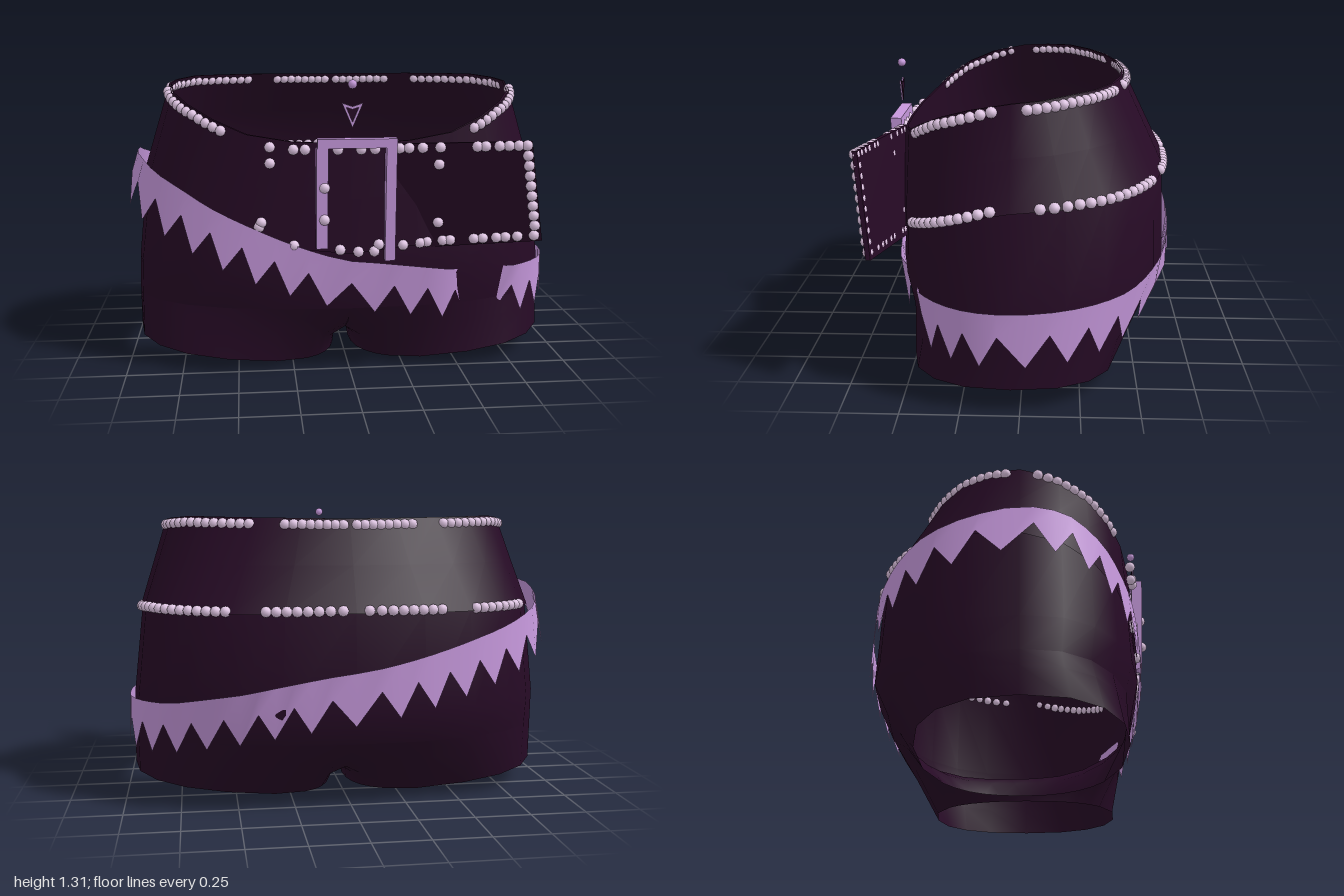
import * as THREE from 'three';
import { mergeGeometries } from 'three/addons/utils/BufferGeometryUtils.js';

const RAD = Math.PI / 180;
const mat = (name, color, side = THREE.FrontSide) => {
  const m = new THREE.MeshStandardMaterial({ color, side });
  m.name = name;
  return m;
};
const lerp = THREE.MathUtils.lerp;

// Piecewise-linear lookup of [angle, value] pairs
function lookup(table, d) {
  for (let i = 1; i < table.length; i++) {
    const [a, va] = table[i - 1], [b, vb] = table[i];
    if (d <= b) return lerp(va, vb, (d - a) / (b - a));
  }
  return table[table.length - 1][1];
}
const fold = d => { d = ((d % 360) + 360) % 360; return d > 180 ? 360 - d : d; };

// Heights around the body; 0 degrees is the front, 90 the model's left
const RIM = [[0, 1.04], [25, 1.06], [38, 1.11], [55, 1.18], [85, 1.265], [120, 1.285], [180, 1.275]];
const BELT = [[0, 0.56], [20, 0.6], [35, 0.69], [60, 0.77], [85, 0.85], [110, 0.87], [180, 0.88]];
const LACE = [[0, 0.53], [30, 0.455], [90, 0.45], [130, 0.48], [155, 0.54], [180, 0.63],
  [210, 0.76], [245, 0.89], [270, 0.97], [285, 0.95], [310, 0.84], [335, 0.69], [360, 0.53]];
// How far the trim stands off the cloth; negative where it sinks in
const LACE_OFF = [[0, 0.02], [24, 0.02], [27, -0.022], [41, -0.022], [45, 0.02], [200, 0.025],
  [250, 0.065], [285, 0.07], [315, 0.035], [360, 0.02]];
const rimY = d => lookup(RIM, fold(d));
const beltY = d => lookup(BELT, fold(d));
// Evens out spacing along the flattened loop
const even = u => u - 8 * Math.sin(2 * u * RAD);

// Point on the garment at angle d and height y, pushed outward by off
function surf(d, y, off = 0) {
  const s = Math.sin(d * RAD), c = Math.cos(d * RAD);
  const rows = [[rimY(d), 0.79, 0.55, -0.44, c > 0 ? 0.83 : 1], [beltY(d), 0.92, 0.57, -0.635, 0.83],
    [0.45, 0.965, 0.575, -0.65, 0.83], [0.3, 0.97, 0.54, -0.58, 0.83]];
  let i = 0;
  while (i < 2 && y < rows[i + 1][0]) i++;
  const [p, q] = [rows[i], rows[i + 1]];
  const k = THREE.MathUtils.clamp((p[0] - y) / (p[0] - q[0]), 0, 1);
  const [A, F, B, e] = [1, 2, 3, 4].map(j => lerp(p[j], q[j], k));
  const x = Math.sign(s) * (A + off) * Math.abs(s) ** e;
  const z = 0.04 + (c > 0 ? F + off - 0.04 : B - off - 0.04) * Math.abs(c) ** e;
  return new THREE.Vector3(x, y, z);
}

// Closed-loop surface through a list of rings
function loft(rings) {
  const n = rings[0].length, pos = [], idx = [];
  rings.forEach(r => r.forEach(p => pos.push(p.x, p.y, p.z)));
  for (let r = 0; r < rings.length - 1; r++) {
    for (let i = 0; i < n; i++) {
      const a = r * n + i, b = r * n + (i + 1) % n;
      idx.push(a, a + n, b, b, a + n, b + n);
    }
  }
  const g = new THREE.BufferGeometry();
  g.setAttribute('position', new THREE.Float32BufferAttribute(pos, 3));
  g.setIndex(idx);
  g.computeVertexNormals();
  return g;
}
const ring = (n, fn) => Array.from({ length: n }, (_, i) => fn(i * 360 / n, i));

export function createModel() {
  const group = new THREE.Group();
  const cloth = mat('dark plum cloth', 0x260a25, THREE.DoubleSide);
  const lilac = mat('lilac trim', 0xc698dc, THREE.DoubleSide);
  const studMat = mat('pale stud', 0xe6cbea);
  const add = (name, geo, m) => {
    const mesh = new THREE.Mesh(geo, m);
    mesh.name = name;
    group.add(mesh);
    return mesh;
  };

  // Hips, from the waist rim down to the top of the legs
  const heights = [rimY, d => (rimY(d) + beltY(d)) / 2, beltY, () => 0.45, () => 0.3];
  add('hips', loft(heights.map(h => ring(24, d => surf(d, h(d))))), cloth);

  // Legs: half of the hip ring plus the crotch curve, running to a slanted hem
  const bow = v => Math.sign(v) * Math.abs(v) ** 0.85;
  for (const side of [1, -1]) {
    const top = [], mid = [], hem = [];
    const addRib = (p, phi) => {
      const x = 0.505 + 0.465 * bow(Math.sin(phi * RAD));
      const q = new THREE.Vector3(x, 0.005 + 0.11 * (x - 0.04), 0.04 + 0.45 * bow(Math.cos(phi * RAD)));
      const m = p.clone().lerp(q, 0.35);
      m.x = lerp(p.x, q.x, 0.75);
      [[top, p], [mid, m], [hem, q]].forEach(([list, v]) => list.push(new THREE.Vector3(side * v.x, v.y, v.z)));
    };
    for (let i = 0; i <= 12; i++) addRib(surf(i * 15, 0.3), -40 + 260 * i / 12);
    for (let i = 1; i < 10; i++) {
      const s = i / 10;
      const y = 0.1 + 0.2 * Math.abs(2 * s - 1) ** 3;
      addRib(new THREE.Vector3(0, y, lerp(-0.58, 0.54, s)), 220 + 100 * s);
    }
    add(side > 0 ? 'leftLeg' : 'rightLeg', loft([top, mid, hem]), cloth);
  }

  // Wide belt layered over the hips
  add('belt', loft([0, 0.5, 1].map(k => ring(24, d => surf(d, lerp(rimY(d), beltY(d), k), 0.01)))), cloth);

  // Slanted trim with a pointed lower edge
  const teeth = 33;
  const laceTop = d => lookup(LACE, d);
  const laceOff = d => lookup(LACE_OFF, d);
  add('pointedTrim', loft([
    ring(teeth * 2, u => surf(even(u), laceTop(even(u)), laceOff(even(u)))),
    ring(teeth * 2, (u, i) => {
      const d = even(u), depth = i % 2 ? 0.235 : 0.1;
      const p = surf(d, Math.max(laceTop(d) - depth, 0.3), laceOff(d));
      p.y = laceTop(d) - depth;
      return p;
    }),
  ]), lilac);

  // Loose belt end standing away from the front, leaning out at the top
  const corners = [[0.19, 0.56, 0.5], [0.83, 0.615, 0.63], [0.19, 1.04, 0.565], [0.755, 1.06, 0.68]]
    .map(c => new THREE.Vector3(...c));
  const tail = (u, v, off) => {
    const p = corners[0].clone().lerp(corners[1], u).lerp(corners[2].clone().lerp(corners[3], u), v);
    p.z += off;
    return p;
  };
  const tailGeo = new THREE.BoxGeometry(1, 1, 0.02);
  const tp = tailGeo.attributes.position;
  for (let i = 0; i < tp.count; i++) {
    const p = tail(tp.getX(i) + 0.5, tp.getY(i) + 0.5, tp.getZ(i));
    tp.setXYZ(i, p.x, p.y, p.z);
  }
  tailGeo.computeVertexNormals();
  add('beltEnd', tailGeo, cloth);

  // Studs along both belt edges, the belt end and the front
  const studs = [];
  const stud = p => studs.push(new THREE.IcosahedronGeometry(0.024, 1).translate(p.x, p.y, p.z));
  const frontZ = x => 0.582 - 0.26 * x * x;
  const tailStud = (u, v) => {
    const p = tail(u, v, 0.01);
    p.z = Math.max(p.z, frontZ(p.x));
    stud(p);
  };
  for (const s of [1, -1]) {
    for (let u = 48; u < 180; u += 3.4) {
      const d = even(u);
      if (Math.abs(d - 90) < 5 || Math.abs(d - 154) < 4) continue;
      stud(surf(s * d, rimY(d) - 0.028, 0.006));
      // the trim covers the lower row on the front of the model's right
      if (s > 0 || laceTop(360 - d) < beltY(d)) stud(surf(s * d, beltY(d) + 0.012, 0.006));
    }
  }
  for (const u of [0.03, 0.1, 0.2, 0.33, 0.6, 0.66, 0.76, 0.83, 0.9, 0.96]) tailStud(u, 0.96);
  for (const u of [0.06, 0.18, 0.23, 0.34, 0.39, 0.55, 0.61, 0.7, 0.76, 0.84, 0.95]) tailStud(u, 0.06);
  for (let v = 0.16; v < 0.95; v += 0.1) tailStud(0.96, v);
  tailStud(0.32, 0.8);
  tailStud(0.31, 0.24);
  for (const [x, y] of [[-0.35, 1.03], [-0.35, 0.96], [-0.25, 1.02], [-0.2, 1.02], [-0.06, 1.02], [0.04, 1.02],
    [0.1, 1.02], [-0.39, 0.7], [-0.4, 0.68], [-0.25, 0.6], [-0.05, 0.58], [0.03, 0.57], [0.1, 0.57], [0.12, 0.6]]) {
    stud(new THREE.Vector3(x, y, frontZ(x)));
  }
  for (const y of [0.72, 0.86]) stud(new THREE.Vector3(-0.12, y, 0.61));
  add('studs', mergeGeometries(studs), studMat);

  // Buckle: a top bar and two side bars, leaning out at the top
  const bars = [[0.34, 0.04, 0.02, 1.05], [0.05, 0.44, -0.13, 0.81], [0.045, 0.5, 0.167, 0.78]];
  const buckle = mergeGeometries(bars.map(([w, h, x, y]) =>
    new THREE.BoxGeometry(w, h, 0.05).translate(x, y, 0)));
  const bp = buckle.attributes.position;
  for (let i = 0; i < bp.count; i++) bp.setZ(i, bp.getZ(i) + lerp(0.573, 0.602, (bp.getY(i) - 0.53) / 0.54));
  add('buckle', buckle, lilac);

  // Floating charm: a small pointed plate with a rim, and a bead above it
  const outline = k => [[-0.045, 0.045], [0, 0.03], [0.045, 0.045], [0, -0.06]]
    .map(([x, y]) => new THREE.Vector2(x * k, y * k));
  const rim = new THREE.Shape(outline(1));
  rim.holes.push(new THREE.Path(outline(0.6)));
  add('charmRim', new THREE.ExtrudeGeometry(rim, { depth: 0.006, bevelEnabled: false }), lilac)
    .position.set(0, 1.175, 0.597);
  add('charmPlate', new THREE.ExtrudeGeometry(new THREE.Shape(outline(0.95)), { depth: 0.004, bevelEnabled: false }), cloth)
    .position.set(0, 1.175, 0.592);
  add('charmBead', new THREE.IcosahedronGeometry(0.02, 1), lilac).position.set(0, 1.298, 0.595);

  return group;
}
